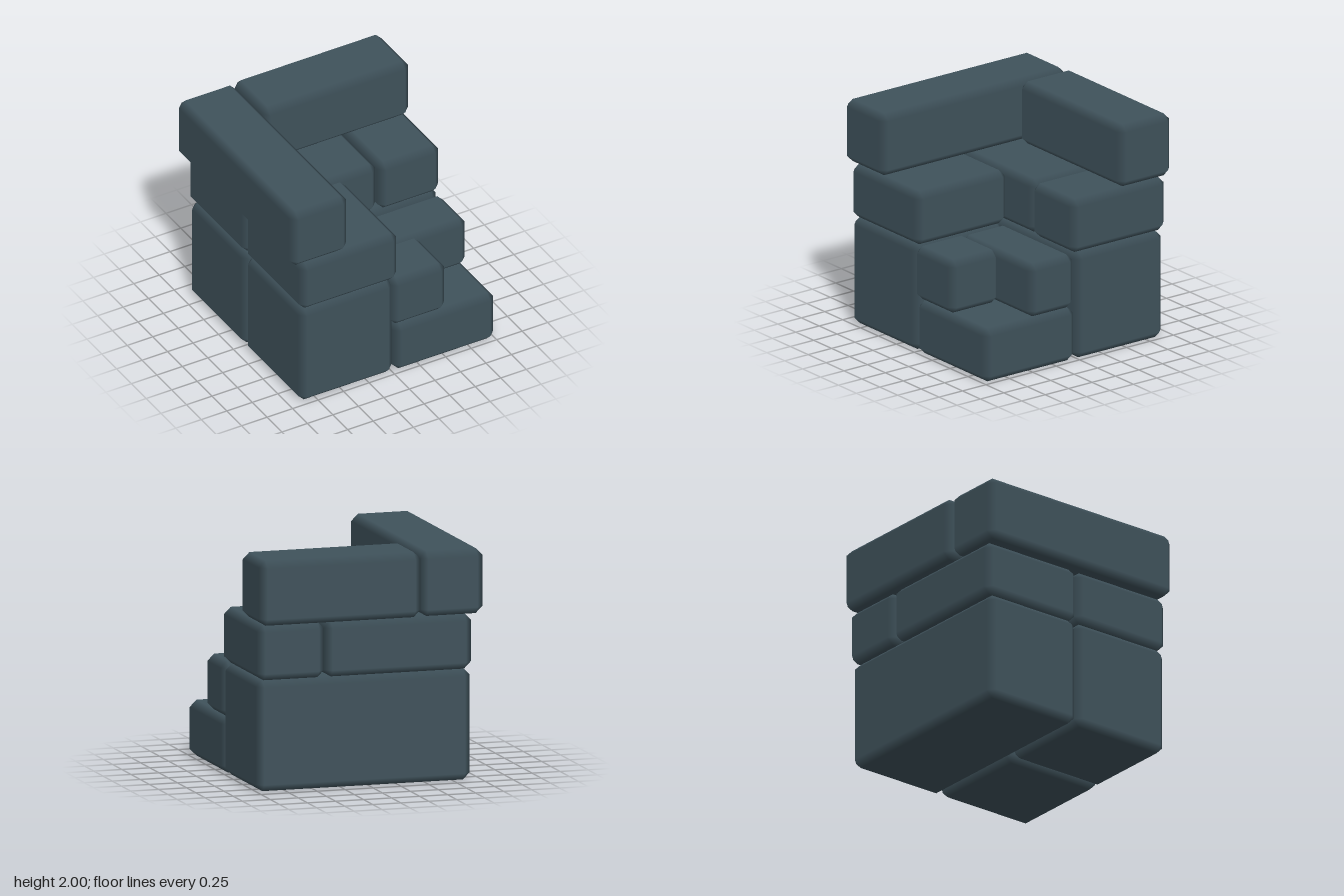
import * as THREE from 'three';

const BEVEL = 0.06;

// Chamfered box: three points per corner, one on each adjoining face, with face normals
// so the bevels shade smoothly between flat sides.
function chamferedBox(w, h, d, bevel) {
  const half = [w / 2, h / 2, d / 2];
  const positions = [], normals = [], index = [];
  const point = (i) => new THREE.Vector3().fromArray(positions, i * 3);
  const id = (signs, axis) =>
    ((signs[0] > 0 ? 1 : 0) + (signs[1] > 0 ? 2 : 0) + (signs[2] > 0 ? 4 : 0)) * 3 + axis;

  for (let corner = 0; corner < 8; corner++) {
    const s = [0, 1, 2].map((k) => (corner >> k & 1 ? 1 : -1));
    for (let axis = 0; axis < 3; axis++) {
      for (let k = 0; k < 3; k++) {
        positions.push(s[k] * (half[k] - (k === axis ? 0 : bevel)));
        normals.push(k === axis ? s[k] : 0);
      }
    }
  }

  // Wind every triangle so that it faces away from the centre
  const tri = (a, b, c) => {
    const pa = point(a);
    const n = point(b).sub(pa).cross(point(c).sub(pa));
    if (n.dot(pa) > 0) index.push(a, b, c);
    else index.push(a, c, b);
  };
  const quad = (a, b, c, e) => { tri(a, b, c); tri(a, c, e); };

  for (let axis = 0; axis < 3; axis++) {
    const u = (axis + 1) % 3, v = (axis + 2) % 3;
    const signs = (a, b, c) => {
      const s = [0, 0, 0];
      s[axis] = a; s[u] = b; s[v] = c;
      return s;
    };
    // Flat sides
    for (const a of [-1, 1]) {
      quad(id(signs(a, -1, -1), axis), id(signs(a, 1, -1), axis),
        id(signs(a, 1, 1), axis), id(signs(a, -1, 1), axis));
    }
    // Bevels running along this axis
    for (const b of [-1, 1]) for (const c of [-1, 1]) {
      const lo = signs(-1, b, c), hi = signs(1, b, c);
      quad(id(lo, u), id(hi, u), id(hi, v), id(lo, v));
    }
  }
  // Corner facets
  for (let corner = 0; corner < 8; corner++) tri(corner * 3, corner * 3 + 1, corner * 3 + 2);

  const geometry = new THREE.BufferGeometry();
  geometry.setAttribute('position', new THREE.Float32BufferAttribute(positions, 3));
  geometry.setAttribute('normal', new THREE.Float32BufferAttribute(normals, 3));
  geometry.setIndex(index);
  return geometry;
}

export function createModel() {
  const model = new THREE.Group();
  model.name = 'stoneBlocks';
  const stone = new THREE.MeshStandardMaterial({ color: 0x3f525b });
  stone.name = 'slate stone';

  // Each block: name, x range, y range, z range
  const blocks = [
    // Bottom course
    ['baseBackBlock', [-0.91, 1], [0, 0.96], [-0.91, 0.03]],
    ['baseFrontLeftBlock', [-0.91, 0.01], [0, 0.96], [0.03, 0.99]],
    ['lowerStepBlock', [0.01, 1], [0, 0.48], [0.03, 1]],
    ['upperStepBlock', [0, 1], [0.48, 0.96], [0.04, 0.52]],
    ['smallStepBlock', [-0.02, 0.52], [0.48, 0.96], [0.47, 1]],
    // Middle course
    ['middleFrontBlock', [-0.91, 0.05], [0.96, 1.44], [0.03, 1]],
    ['middleBackBlock', [-0.91, 0.4], [0.96, 1.44], [-0.94, 0.04]],
    ['middleRightBlock', [0.4, 1], [0.96, 1.44], [-0.94, 0.07]],
    // Top course
    ['topSideBeam', [-1, -0.44], [1.44, 2], [-0.98, 1]],
    ['topBackBeam', [-0.44, 1], [1.44, 2], [-1, -0.44]],
  ];

  for (const [name, ...ranges] of blocks) {
    const size = ranges.map(([lo, hi]) => hi - lo);
    const centre = ranges.map(([lo, hi]) => (lo + hi) / 2);
    const block = new THREE.Mesh(chamferedBox(...size, BEVEL), stone);
    block.name = name;
    block.position.set(...centre);
    model.add(block);
  }
  return model;
}
